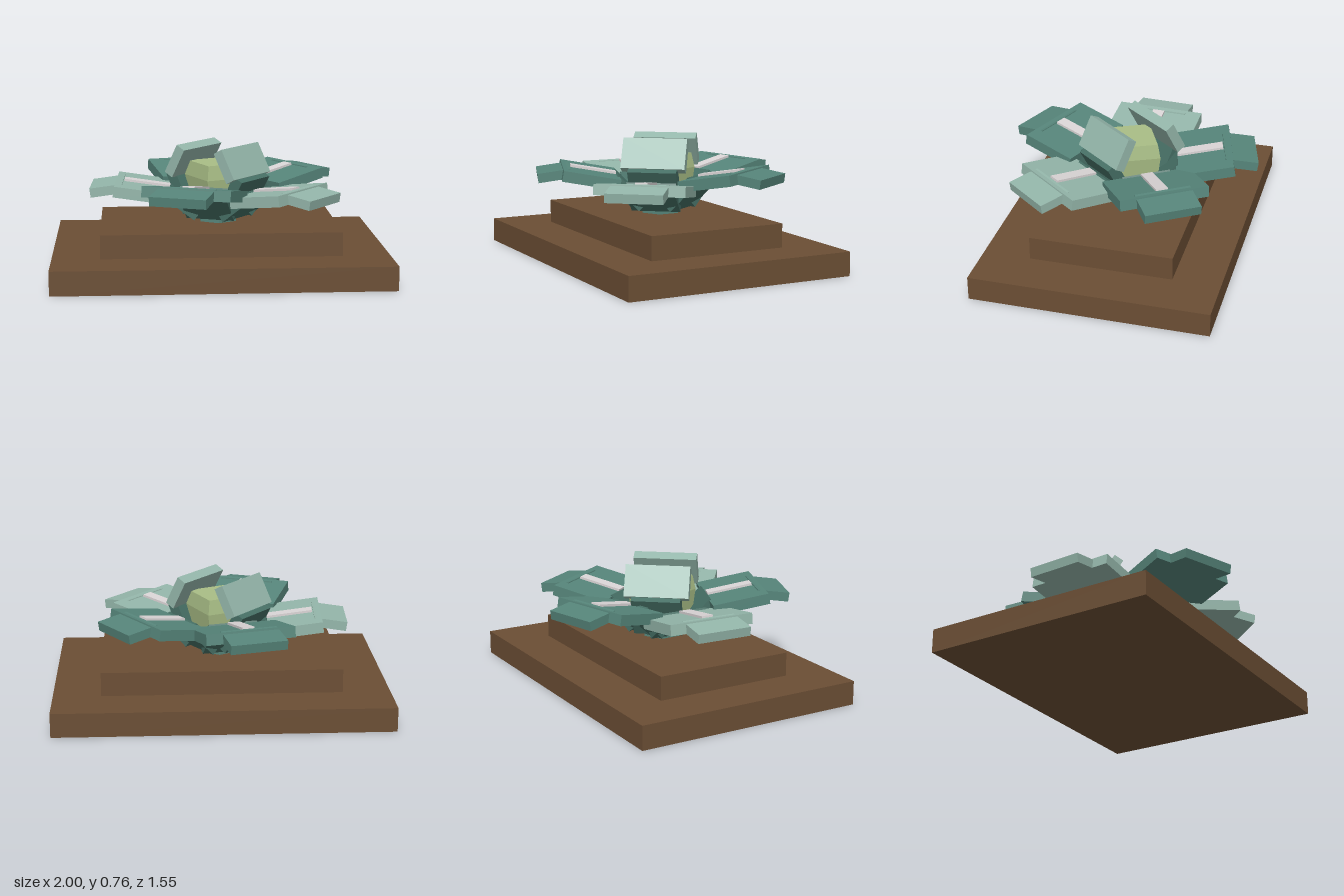
import * as THREE from 'three';

const mat = (name, color) => {
  const m = new THREE.MeshStandardMaterial({ color });
  m.name = name;
  return m;
};
const rad = THREE.MathUtils.degToRad;

export function createModel() {
  const brown = mat('brown wood', 0x6b4e34);
  const green = mat('leaf green', 0x56857a);
  const pale = mat('pale green', 0x94b6aa);
  const deep = mat('deep green', 0x466f65);
  const silver = mat('silver rib', 0xdad5d6);
  const yellow = mat('yellow green', 0xa9be86);

  const model = new THREE.Group();
  model.name = 'slabFlower';

  const add = (parent, name, geometry, material, x, y, z) => {
    const mesh = new THREE.Mesh(geometry, material);
    mesh.name = name;
    mesh.position.set(x, y, z);
    parent.add(mesh);
    return mesh;
  };

  // A slab placed by its outer upper edge (radius r, height y), tilted in degrees
  const slab = (parent, name, material, r, y, tilt, length, thick, width) => {
    const geo = new THREE.BoxGeometry(length, thick, width);
    geo.translate(-length / 2, -thick / 2, 0);
    add(parent, name, geo, material, r, y, 0).rotation.z = rad(tilt);
  };

  // A group whose +x points along the given bearing (from +x towards +z)
  const arm = (name, bearing) => {
    const g = new THREE.Group();
    g.name = name;
    g.rotation.y = -rad(bearing);
    model.add(g);
    return g;
  };

  // Stepped plinth
  add(model, 'lowerPlinth', new THREE.BoxGeometry(2, 0.145, 1.43), brown, 0, 0.0725, 0);
  add(model, 'upperPlinth', new THREE.BoxGeometry(1.43, 0.143, 0.86), brown, 0, 0.2165, 0);

  // Short stem
  const stem = new THREE.CylinderGeometry(0.125, 0.125, 0.09, 6).toNonIndexed();
  stem.computeVertexNormals();
  add(model, 'stem', stem, green, 0, 0.333, 0);

  // Four-sided core
  const profile = [[0, 0.33], [0.08, 0.34], [0.19, 0.42], [0.21, 0.56], [0.19, 0.648], [0, 0.648]]
    .map(([r, y]) => new THREE.Vector2(r, y));
  const core = new THREE.LatheGeometry(profile, 4, rad(70)).toNonIndexed();
  core.computeVertexNormals();
  add(model, 'core', core, yellow, 0, 0, 0);

  // Five outer petals; the pale ones sit lower and flatter
  for (let i = 0; i < 5; i++) {
    const low = i === 0 || i === 2;
    const petal = arm('outerPetal', 39 + i * 72);
    const color = low ? pale : green;
    const [r, y, tilt] = low ? [0.618, 0.541, 8] : [0.604, 0.585, 10];
    const a = rad(tilt);
    if (low) slab(petal, 'petalStalk', deep, 0.285, 0.505, 37, 0.23, 0.07, 0.3);
    else slab(petal, 'petalStalk', deep, 0.27, 0.535, 45, 0.24, 0.07, 0.3);
    slab(petal, 'petalBlade', color, r, y, tilt, 0.345, 0.065, 0.54);
    slab(petal, 'petalTip', color, r + 0.155, y - 0.03, -8, 0.2, 0.056, 0.34);
    // Raised rib along the blade
    const back = 0.05, lift = 0.014;
    slab(petal, 'petalRib', silver, r - back * Math.cos(a) - lift * Math.sin(a),
      y - back * Math.sin(a) + lift * Math.cos(a), tilt, 0.28, 0.02, 0.073);
  }

  // Two inner petals folding over the core
  for (const bearing of [39, 219]) {
    const bud = arm('innerPetal', bearing);
    slab(bud, 'innerPetalStalk', deep, 0.22, 0.597, 62, 0.27, 0.07, 0.296);
    slab(bud, 'innerPetalBlade', pale, 0.11, 0.73, 118, 0.197, 0.063, 0.39);
  }
  return model;
}
